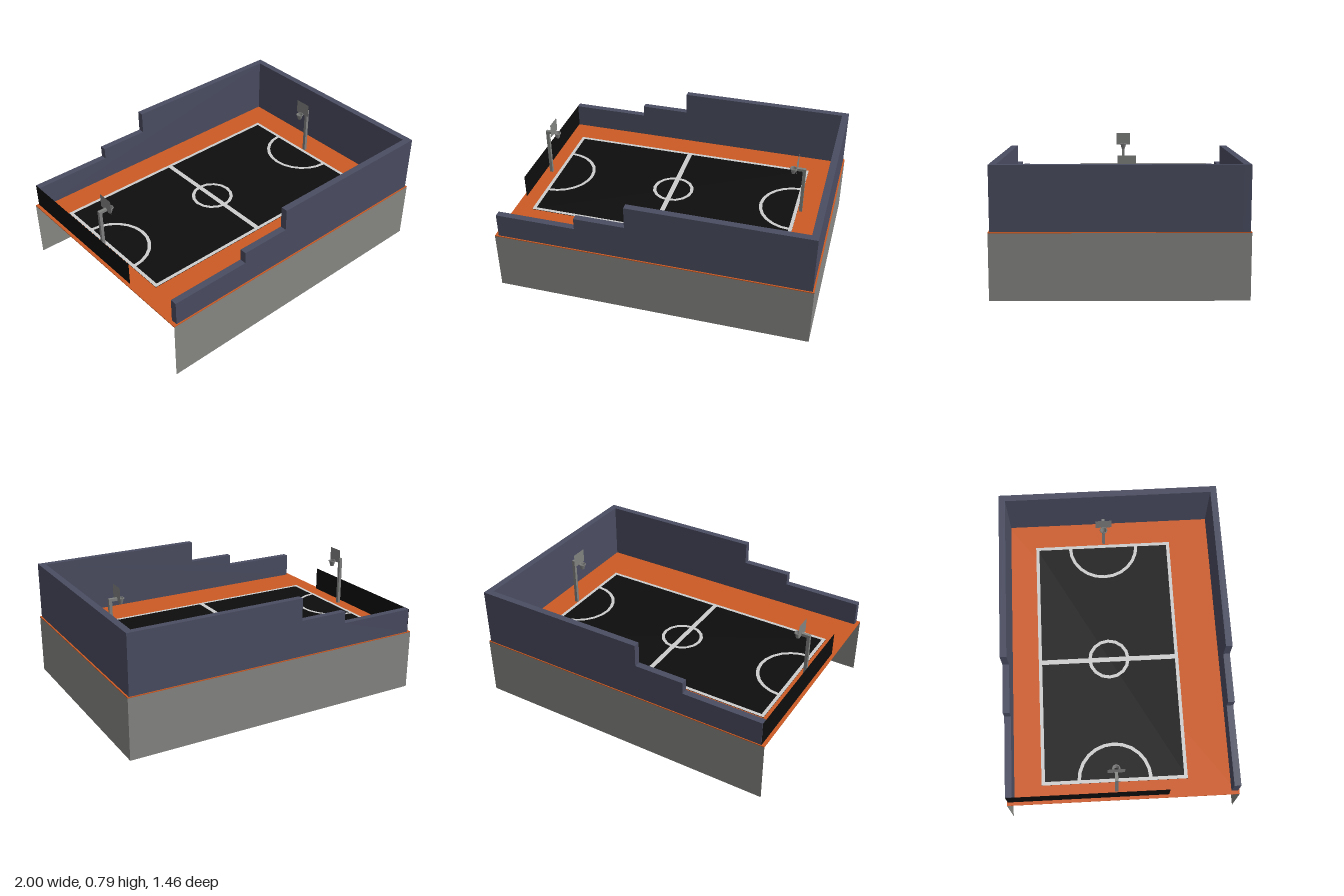
import * as THREE from 'three';

const mat = (name, color) => {
  const m = new THREE.MeshStandardMaterial({ color, side: THREE.DoubleSide });
  m.name = name;
  return m;
};

export function createModel() {
  const orange = mat('orange floor', 0xcb5a23);
  const navy = mat('navy wall', 0x4a4d61);
  const grey = mat('grey base', 0x878884);
  const black = mat('black court', 0x0d0d0d);
  const white = mat('white line', 0xcccccc);
  const steel = mat('steel grey', 0x808280);

  const model = new THREE.Group();
  const FLOOR = 0.39, W = 1, D = 0.73;
  const COURT_Y = FLOOR + 0.003, LINE_Y = FLOOR + 0.006;

  const add = (name, geo, material, x = 0, y = 0, z = 0, parent = model) => {
    const mesh = new THREE.Mesh(geo, material);
    mesh.name = name;
    mesh.position.set(x, y, z);
    parent.add(mesh);
    return mesh;
  };
  // Box given by its lower and upper limits
  const box = (name, m, x0, x1, y0, y1, z0, z1, parent) =>
    add(name, new THREE.BoxGeometry(x1 - x0, y1 - y0, z1 - z0), m,
      (x0 + x1) / 2, (y0 + y1) / 2, (z0 + z1) / 2, parent);
  // Flat rectangle lying on the court
  const flat = (name, m, x0, x1, z0, z1, y) =>
    add(name, new THREE.PlaneGeometry(x1 - x0, z1 - z0).rotateX(-Math.PI / 2), m,
      (x0 + x1) / 2, y, (z0 + z1) / 2);

  // Floor slab on a skirt that is open at one end and below
  box('floor', orange, -W, W, FLOOR - 0.005, FLOOR, -D, D);
  const skirtH = FLOOR - 0.005;
  for (const s of [1, -1]) {
    const side = add(s > 0 ? 'frontSkirt' : 'backSkirt',
      new THREE.PlaneGeometry(2 * W, skirtH), grey, 0, skirtH / 2, s * D);
    if (s < 0) side.rotation.y = Math.PI;
  }
  add('endSkirt', new THREE.PlaneGeometry(2 * D, skirtH).rotateY(Math.PI / 2), grey, W, skirtH / 2, 0);

  // Stepped side walls
  const profile = new THREE.Shape([
    [-0.977, FLOOR], [0.99, FLOOR], [0.99, 0.763], [-0.145, 0.763],
    [-0.145, 0.62], [-0.465, 0.62], [-0.465, 0.545], [-0.977, 0.545],
  ].map(([x, y]) => new THREE.Vector2(x, y)));
  const wallGeo = new THREE.ExtrudeGeometry(profile, { depth: 0.042, bevelEnabled: false });
  add('frontWall', wallGeo, navy, 0, 0, 0.68);
  add('backWall', wallGeo, navy, 0, 0, -0.724);
  box('endWall', navy, 0.947, 0.99, FLOOR, 0.763, -0.682, 0.68);

  // Low black panel on the open end
  add('endPanel', new THREE.PlaneGeometry(1.012, 0.162).rotateY(-Math.PI / 2), black, -0.979, 0.464, -0.218);

  // Court surface and straight lines
  const cx0 = -0.885, cx1 = 0.778, cz0 = -0.51, cz1 = 0.413, t = 0.022;
  flat('court', black, cx0, cx1, cz0, cz1, COURT_Y);
  flat('backLine', white, cx0, cx1, cz0, cz0 + t, LINE_Y);
  flat('frontLine', white, cx0, cx1, cz1 - t, cz1, LINE_Y);
  flat('endLine', white, cx0, cx0 + t, cz0, cz1, LINE_Y);
  flat('endLine', white, cx1 - t, cx1, cz0, cz1, LINE_Y);
  flat('centreLine', white, -0.083, -0.051, cz0, cz1, LINE_Y);

  // Centre circle and the two end arcs
  const MID = -0.046;
  const arc = (name, r, x, start, sweep, seg) =>
    add(name, new THREE.RingGeometry(r - t, r, seg, 1, start, sweep).rotateX(-Math.PI / 2), white, x, LINE_Y + 0.001, MID);
  arc('centreCircle', 0.137, -0.063, Math.PI / 8, Math.PI * 2, 16);
  arc('endArc', 0.238, -0.868, -Math.PI / 2, Math.PI, 12);
  arc('endArc', 0.238, 0.762, Math.PI / 2, Math.PI, 12);

  // Hoops: post, arm, thin backboard, rim and net
  const hoop = (x, turn) => {
    const g = new THREE.Group();
    g.name = 'hoop';
    box('post', steel, -0.01, 0.01, FLOOR, 0.715, -0.01, 0.01, g);
    box('arm', steel, -0.01, 0.045, 0.698, 0.715, -0.01, 0.01, g);
    add('backboard', new THREE.PlaneGeometry(0.105, 0.09).rotateY(Math.PI / 2), steel, 0.045, 0.745, 0, g);
    add('rim', new THREE.TorusGeometry(0.022, 0.004, 4, 8).rotateX(Math.PI / 2), steel, 0.069, 0.707, 0, g);
    add('net', new THREE.CylinderGeometry(0.021, 0.012, 0.034, 8, 1, true), steel, 0.069, 0.689, 0, g);
    g.position.set(x, 0, -0.04);
    g.rotation.y = turn;
    model.add(g);
  };
  hoop(-0.935, 0);
  hoop(0.797, Math.PI);

  return model;
}
